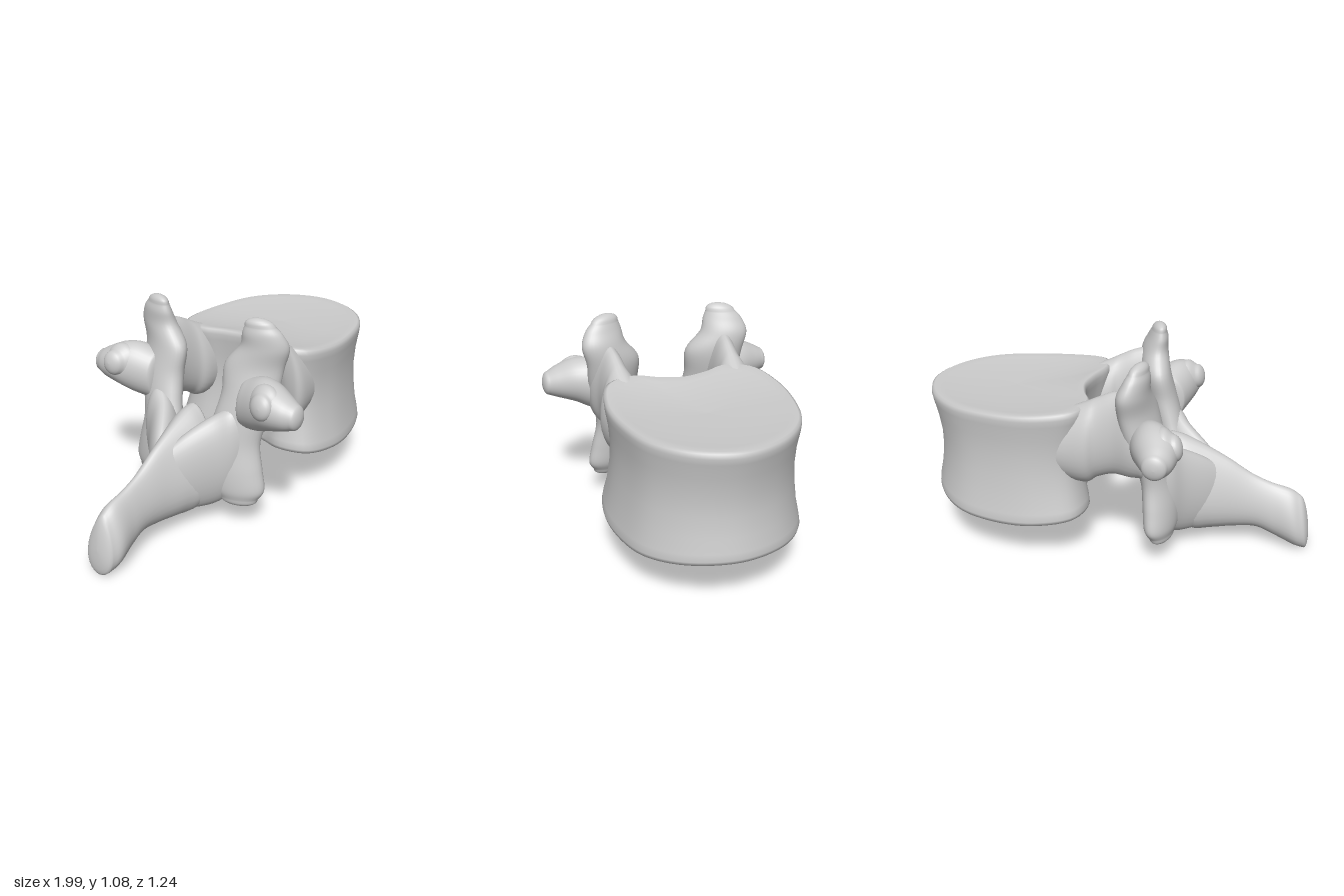
import * as THREE from 'three';

const material = new THREE.MeshStandardMaterial({ color: 0xcccccc });
const V3 = (x, y, z) => new THREE.Vector3(x, y, z);

// Closed smooth skin over a list of rings that all have the same point count
function skin(name, rings, flip) {
  const n = rings[0].length, pos = [], index = [];
  rings.forEach(ring => ring.forEach(p => pos.push(p.x, p.y, p.z)));
  for (let i = 0; i < rings.length - 1; i++) {
    for (let j = 0; j < n; j++) {
      const k = (j + 1) % n;
      const a = i * n + j, b = i * n + k, c = a + n, d = b + n;
      if (flip) index.push(a, c, b, b, c, d);
      else index.push(a, b, c, b, d, c);
    }
  }
  const geo = new THREE.BufferGeometry();
  geo.setAttribute('position', new THREE.Float32BufferAttribute(pos, 3));
  geo.setIndex(index);
  geo.computeVertexNormals();
  const mesh = new THREE.Mesh(geo, material);
  mesh.name = name;
  return mesh;
}

// Loft of ellipses with rounded ends. Station: [x, y, z, radius along u, radius along v].
// taper widens the -u side of each section and narrows the +u side.
function loft(name, stations, u, v, { side = 1, cap = 0.04, taper = 0, seg = 32 } = {}) {
  const U = V3(u[0], u[1], u[2] * side).normalize();
  const V = V3(v[0], v[1], v[2] * side).normalize();
  const centres = new THREE.CatmullRomCurve3(
    stations.map(s => V3(s[0], s[1], s[2] * side)), false, 'catmullrom');
  const radii = new THREE.CatmullRomCurve3(
    stations.map(s => V3(s[3], s[4], 0)), false, 'catmullrom');
  const rings = [];
  const addRing = (t, scale, push) => {
    const c = centres.getPoint(t), r = radii.getPoint(t);
    c.addScaledVector(centres.getTangent(t), push);
    rings.push(Array.from({ length: seg }, (_, j) => {
      const a = j / seg * Math.PI * 2, s = Math.sin(a);
      return c.clone().addScaledVector(U, s * r.x * scale)
        .addScaledVector(V, Math.cos(a) * r.y * scale * (1 - taper * s));
    }));
  };
  const steps = (stations.length - 1) * 6, dome = 6;
  for (let i = 0; i < dome; i++) {
    const a = i / dome * Math.PI / 2;
    addRing(0, Math.sin(a), -cap * Math.cos(a));
  }
  for (let i = 0; i <= steps; i++) addRing(i / steps, 1, 0);
  for (let i = 1; i <= dome; i++) {
    const a = i / dome * Math.PI / 2;
    addRing(1, Math.cos(a), cap * Math.sin(a));
  }
  // Rings run from V to U's opposite turn, so pick the winding that faces outward
  const along = centres.getPoint(1).sub(centres.getPoint(0));
  return skin(name, rings, U.clone().cross(V).dot(along) > 0);
}

// Waisted drum with a hollowed back wall and dished end plates
function vertebralBody() {
  const half = [[0.18, 0], [0.155, 0.13], [0.11, 0.26], [0.16, 0.4], [0.35, 0.462],
    [0.58, 0.445], [0.78, 0.375], [0.93, 0.22], [0.995, 0]];
  const mirrored = half.slice(1, -1).reverse().map(([x, z]) => [x, -z]);
  const outline = new THREE.CatmullRomCurve3(
    [...half, ...mirrored].map(([x, z]) => V3(x, 0, z)), true).getSpacedPoints(96).slice(0, 96);
  const pivot = 0.55;
  // Rows: x scale, z scale, height
  const rows = [[0, 0, 0.25], [0.4, 0.4, 0.245], [0.8, 0.8, 0.232], [0.93, 0.95, 0.224],
    [0.975, 0.99, 0.23], [0.985, 1, 0.25], [0.975, 0.985, 0.29], [0.94, 0.945, 0.37],
    [0.91, 0.915, 0.48], [0.91, 0.9, 0.58], [0.945, 0.91, 0.68], [0.985, 0.935, 0.755],
    [1, 0.94, 0.785], [0.99, 0.935, 0.808], [0.96, 0.905, 0.815], [0.85, 0.82, 0.81],
    [0.6, 0.6, 0.802], [0.3, 0.3, 0.798], [0, 0, 0.796]];
  const rings = rows.map(([sx, sz, y]) => outline.map(p => {
    const x = pivot + (p.x - pivot) * sx, z = p.z * sz;
    const end = (x - pivot) / 0.45;
    // Lower rim arches up at front and back, upper rim rises at the back corners
    const lift = y < 0.5
      ? 0.04 * end * end * (0.5 - y) / 0.27
      : (end < 0 ? 0.03 * end * end * Math.max(0, (y - 0.6) / 0.2) : 0);
    return V3(x, y + lift, z);
  }));
  return skin('vertebralBody', rings, false);
}

// Parts that occur on both sides
function archSide(side) {
  const group = new THREE.Group();
  group.name = side > 0 ? 'archNearSide' : 'archFarSide';
  const X = [1, 0, 0], Y = [0, 1, 0], Z = [0, 0, 1];

  // Bridge from the body to the arch
  group.add(loft('pedicle', [
    [0.32, 0.62, 0.27, 0.15, 0.11], [0.13, 0.645, 0.29, 0.21, 0.115],
    [0.06, 0.68, 0.295, 0.21, 0.088], [-0.02, 0.71, 0.3, 0.215, 0.08],
    [-0.1, 0.71, 0.31, 0.22, 0.09], [-0.16, 0.66, 0.31, 0.17, 0.09],
  ], Y, Z, { side, taper: 0.12 }));

  // Upright plate: lower joint knob, narrow neck, then the raised upper joint
  group.add(loft('articularPillar', [
    [-0.26, 0.165, 0.275, 0.1, 0.05], [-0.255, 0.22, 0.265, 0.138, 0.068],
    [-0.25, 0.32, 0.24, 0.145, 0.075], [-0.235, 0.45, 0.22, 0.14, 0.075],
    [-0.2, 0.58, 0.245, 0.135, 0.08], [-0.16, 0.7, 0.268, 0.14, 0.085],
    [-0.13, 0.83, 0.272, 0.148, 0.078], [-0.118, 0.93, 0.32, 0.122, 0.068],
    [-0.133, 1.0, 0.318, 0.1, 0.052], [-0.14, 1.04, 0.308, 0.075, 0.038],
  ], [0.33, 0, 1], [1, 0, -0.33], { side }));

  // Short wing pointing sideways, with a rounded ridge on its rear
  group.add(loft('transverseProcess', [
    [-0.19, 0.66, 0.28, 0.1, 0.13], [-0.22, 0.69, 0.38, 0.11, 0.135],
    [-0.245, 0.705, 0.46, 0.11, 0.115], [-0.26, 0.7, 0.54, 0.085, 0.085],
    [-0.262, 0.695, 0.59, 0.06, 0.062],
  ], X, Y, { side, cap: 0.03 }));
  group.add(loft('mammillaryKnob', [
    [-0.22, 0.7, 0.41, 0.1, 0.1], [-0.29, 0.73, 0.44, 0.095, 0.09],
    [-0.335, 0.735, 0.45, 0.065, 0.06],
  ], [0.15, 1, 0], Z, { side }));

  // Broad sloping plate that spreads from the blade to the pillar
  group.add(loft('lamina', [
    [-0.55, 0.28, 0, 0.13, 0.03], [-0.43, 0.31, 0.065, 0.2, 0.07],
    [-0.31, 0.35, 0.15, 0.24, 0.085], [-0.26, 0.4, 0.22, 0.23, 0.075],
    [-0.23, 0.43, 0.27, 0.17, 0.05],
  ], Y, [0.7, 0, -0.7], { side }));
  return group;
}

export function createModel() {
  const model = new THREE.Group();
  model.name = 'vertebra';
  model.add(vertebralBody());
  for (const side of [1, -1]) model.add(archSide(side));

  // Rear blade: broad at the root, thin along its top, thickened at the tip
  model.add(loft('spinousProcess', [
    [-0.29, 0.37, 0, 0.235, 0.15], [-0.36, 0.33, 0, 0.26, 0.16],
    [-0.46, 0.31, 0, 0.235, 0.125], [-0.58, 0.285, 0, 0.195, 0.088],
    [-0.7, 0.25, 0, 0.152, 0.07], [-0.8, 0.21, 0, 0.15, 0.074],
    [-0.9, 0.175, 0, 0.158, 0.09], [-0.955, 0.15, 0, 0.15, 0.075],
  ], [0.13, 1, 0], [0, 0, 1], { cap: 0.035, taper: 0.35 }));
  return model;
}
